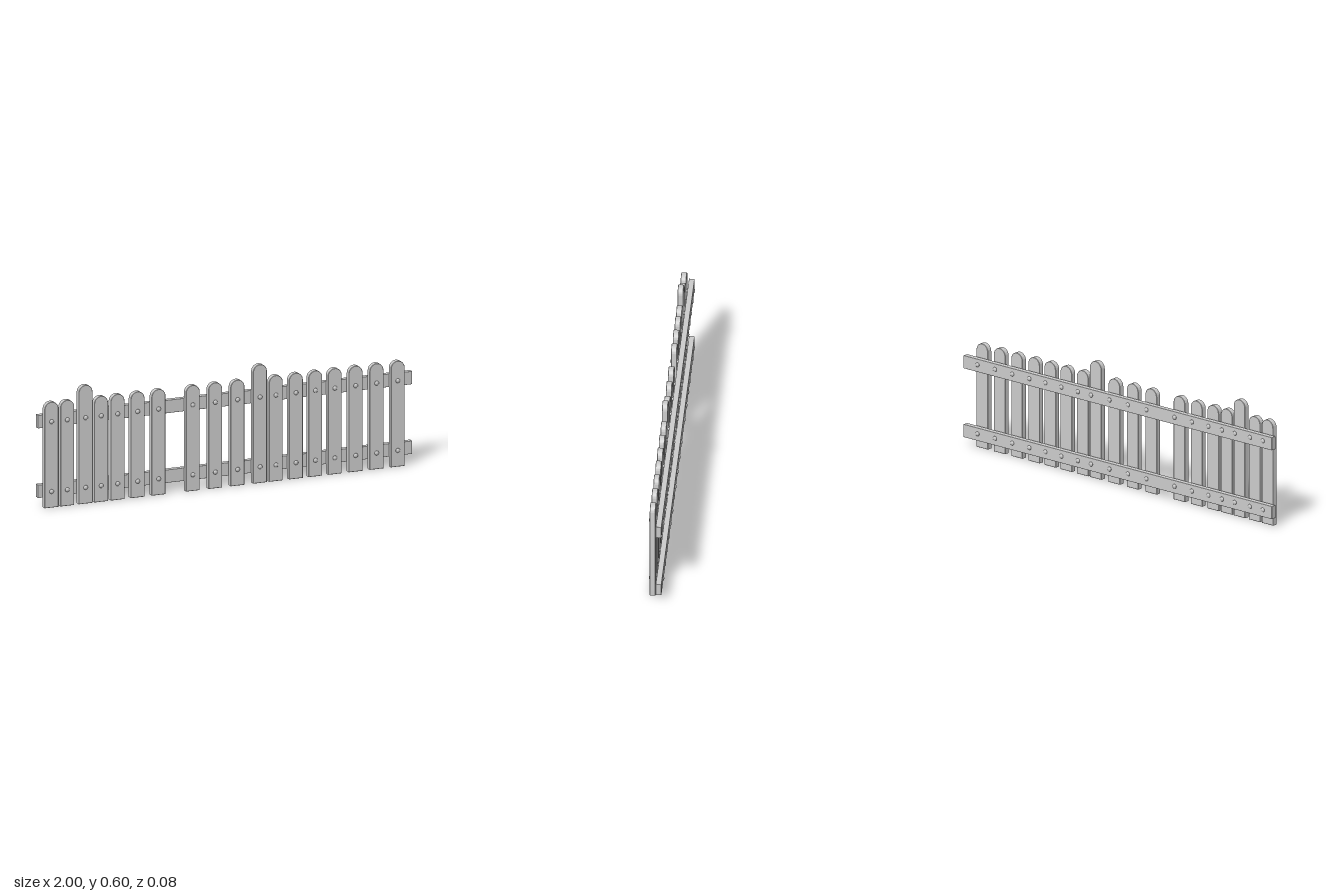
import * as THREE from 'three';
import { toCreasedNormals } from 'three/addons/utils/BufferGeometryUtils.js';
import { RoundedBoxGeometry } from 'three/addons/geometries/RoundedBoxGeometry.js';

const material = new THREE.MeshStandardMaterial({ color: 0xcccccc });

const PICKET_X = [-0.942, -0.858, -0.76, -0.677, -0.589, -0.482, -0.37, -0.187, -0.067,
  0.052, 0.172, 0.257, 0.364, 0.468, 0.572, 0.683, 0.795, 0.908];
const TALL = [2, 10];
const RAIL_Y = [0.079, 0.433];
const BOLT_Y = [0.082, 0.437];
const WIDTH = 0.073, THICK = 0.028, GAP = 0.003;

// Board with a semicircular top and slightly softened edges
function picketGeometry(height) {
  const bevel = 0.0015, r = WIDTH / 2 - bevel;
  const shape = new THREE.Shape();
  shape.moveTo(-r, bevel);
  shape.lineTo(r, bevel);
  shape.lineTo(r, height - WIDTH / 2);
  shape.absarc(0, height - WIDTH / 2, r, 0, Math.PI, false);
  shape.closePath();
  const geometry = new THREE.ExtrudeGeometry(shape, {
    depth: THICK - 2 * bevel, bevelEnabled: true, bevelThickness: bevel,
    bevelSize: bevel, bevelSegments: 1, curveSegments: 16,
  });
  geometry.translate(0, 0, GAP + bevel);
  return toCreasedNormals(geometry, 0.5);
}

// Bolt with a domed head at each end and a shank through both boards
function boltGeometry() {
  const r = 0.012, face = GAP + THICK - 0.001, dome = 0.008;
  const profile = [];
  for (let i = 0; i <= 5; i++) {
    const a = (i / 5) * Math.PI / 2;
    profile.push(new THREE.Vector2(r * Math.sin(a), -face - dome * Math.cos(a)));
  }
  profile.push(new THREE.Vector2(0.008, -face), new THREE.Vector2(0.008, face));
  for (let i = 5; i >= 0; i--) {
    const a = (i / 5) * Math.PI / 2;
    profile.push(new THREE.Vector2(r * Math.sin(a), face + dome * Math.cos(a)));
  }
  return new THREE.LatheGeometry(profile, 14).rotateX(Math.PI / 2);
}

export function createModel() {
  const fence = new THREE.Group();
  fence.name = 'picketFence';
  const add = (name, geometry, x, y, z) => {
    const mesh = new THREE.Mesh(geometry, material);
    mesh.name = name;
    mesh.position.set(x, y, z);
    fence.add(mesh);
  };

  // Two long rails behind the pickets
  const rail = new RoundedBoxGeometry(2, 0.066, THICK, 1, 0.0015);
  RAIL_Y.forEach((y, i) => add(i ? 'upperRail' : 'lowerRail', rail, 0, y, -GAP - THICK / 2));

  // Unevenly spaced pickets, each bolted to both rails
  const shortPicket = picketGeometry(0.537);
  const tallPicket = picketGeometry(0.602);
  const bolt = boltGeometry();
  PICKET_X.forEach((x, i) => {
    const tall = TALL.includes(i);
    add(tall ? 'tallPicket' : 'picket', tall ? tallPicket : shortPicket, x, 0, 0);
    BOLT_Y.forEach((y) => add('bolt', bolt, x, y, 0));
  });

  return fence;
}
